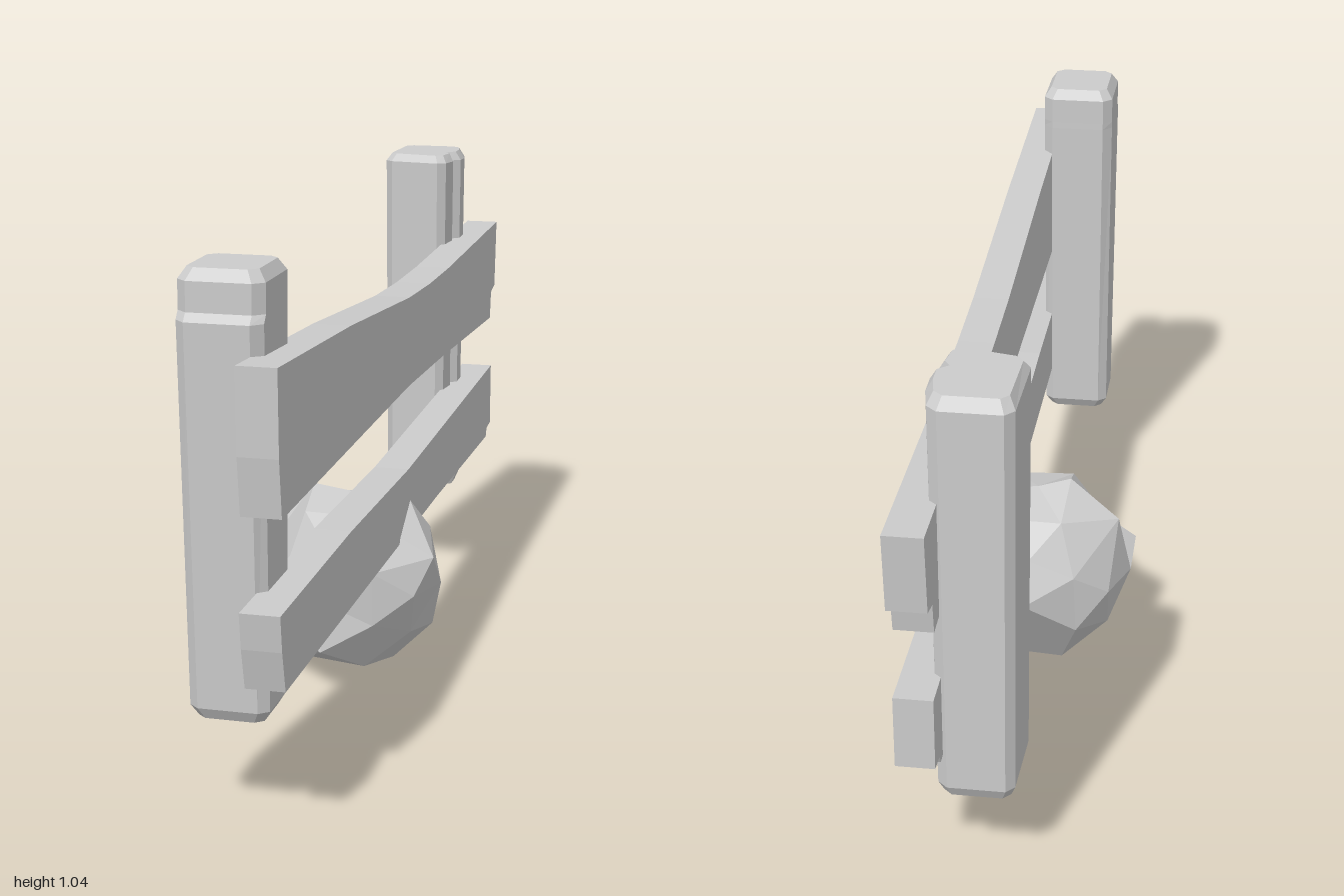
import * as THREE from 'three';

const grey = new THREE.MeshStandardMaterial({ color: 0xcccccc, flatShading: true });

function mesh(name, geometry) {
  geometry.computeVertexNormals();
  const m = new THREE.Mesh(geometry, grey);
  m.name = name;
  return m;
}

// Plank: a side outline of [z, y] points, extruded along x
function plank(name, outline) {
  const shape = new THREE.Shape(outline.map(([z, y]) => new THREE.Vector2(-z, y)));
  const geo = new THREE.ExtrudeGeometry(shape, { depth: 0.075, bevelEnabled: false });
  geo.rotateY(Math.PI / 2).translate(0.065, 0, 0);
  return mesh(name, geo);
}

// Post: one [x, z] section lofted through levels of { y, scale, dz, depth }
function post(name, section, zMid, levels) {
  const n = section.length, pos = [], index = [];
  for (const { y, s, dz = 0, d = 1, tilt = 0 } of levels)
    for (const [x, z] of section)
      pos.push(x * s + 0.005, y + tilt * z, zMid + dz + z * s * d);
  for (let k = 0; k < levels.length - 1; k++)
    for (let i = 0; i < n; i++) {
      const a = k * n + i, b = k * n + (i + 1) % n;
      index.push(a, b, b + n, a, b + n, a + n);
    }
  // end caps
  const top = (levels.length - 1) * n;
  const flat = section.map(([x, z]) => new THREE.Vector2(x, -z));
  for (const [a, b, c] of THREE.ShapeUtils.triangulateShape(flat, []))
    index.push(top + a, top + b, top + c, a, c, b);
  const geo = new THREE.BufferGeometry();
  geo.setAttribute('position', new THREE.Float32BufferAttribute(pos, 3));
  geo.setIndex(index);
  return mesh(name, geo.toNonIndexed());
}

// Boulder: uneven faceted ball with a few corners pulled to fixed spots
function boulder() {
  const geo = new THREE.IcosahedronGeometry(1, 1);
  const p = geo.attributes.position, v = new THREE.Vector3();
  const corners = new Map();
  const key = i => [p.getX(i), p.getY(i), p.getZ(i)].map(c => Math.round(c * 100)).join();
  let seed = 7;
  const rand = () => (seed = (seed * 16807) % 2147483647) / 2147483647;
  for (let i = 0; i < p.count; i++) {
    const k = key(i);
    if (corners.has(k)) continue;
    v.fromBufferAttribute(p, i).multiplyScalar(0.185 + 0.03 * rand());
    corners.set(k, v.clone().add(new THREE.Vector3(0, 0.2, -0.015)));
  }
  const knobs = [
    [0.01, 0.003, -0.02], [0.11, 0.025, 0], [0.19, 0.1, -0.03], [0.21, 0.28, 0.06],
    [0.14, 0.38, -0.02], [-0.07, 0.41, 0], [-0.18, 0.34, -0.04], [-0.21, 0.24, 0.06],
    [-0.15, 0.1, 0], [0, 0.24, -0.265], [0.03, 0.06, -0.16], [0, 0.1, 0.215],
    [0.02, 0.3, 0.19], [-0.09, 0.045, 0.03],
  ].map(k => new THREE.Vector3(...k));
  const all = [...corners.values()], used = new Set();
  for (const knob of knobs) {
    const near = all.filter(c => !used.has(c))
      .sort((a, b) => a.distanceTo(knob) - b.distanceTo(knob))[0];
    used.add(near.copy(knob));
  }
  for (let i = 0; i < p.count; i++) {
    const c = corners.get(key(i));
    p.setXYZ(i, c.x, c.y, c.z);
  }
  return mesh('boulder', geo);
}

export function createModel() {
  const group = new THREE.Group();
  group.name = 'fenceWithBoulder';

  // Rails, each with a broken notch at the far end
  group.add(plank('upperRail', [
    [1, 0.9], [0.995, 0.74], [0.98, 0.63], [0, 0.64], [-0.35, 0.63], [-0.93, 0.605],
    [-0.94, 0.67], [-0.985, 0.68], [-1, 0.84], [-0.4, 0.825], [-0.2, 0.825], [0, 0.832], [0.5, 0.872],
  ]));
  group.add(plank('lowerRail', [
    [0.995, 0.46], [0.985, 0.39], [0.965, 0.31], [-0.3, 0.31], [-0.6, 0.305], [-0.9, 0.3],
    [-0.91, 0.32], [-0.955, 0.325], [-0.955, 0.475], [0, 0.455], [0.5, 0.465],
  ]));

  // Near post: chamfered square, stepped in near its top on the +z side
  const square = [
    [-0.06, 0.09], [0.06, 0.09], [0.08, 0.07], [0.08, -0.07],
    [0.06, -0.09], [-0.06, -0.09], [-0.08, -0.07], [-0.08, 0.07],
  ];
  group.add(post('nearPost', square, 0.815, [
    { y: 0.205, s: 0.78, dz: -0.01, d: 0.87 }, { y: 0.228, s: 0.95, dz: -0.01, d: 0.87 },
    { y: 0.95, s: 1, dz: 0.003, d: 1.04 }, { y: 0.965, s: 1, dz: -0.004, d: 0.96 },
    { y: 1.02, s: 1, dz: -0.004, d: 0.96 }, { y: 1.042, s: 0.82, dz: -0.004, d: 0.98 },
  ]));

  // Far post: skewed, with a split running down its rail side
  const split = [
    [-0.065, 0.085], [0.05, 0.11], [0.068, 0.095], [0.075, 0.045], [0.062, 0.025],
    [0.085, 0.005], [0.085, -0.04], [0.075, -0.09], [0.055, -0.108],
    [-0.06, -0.108], [-0.077, -0.09], [-0.082, 0.065],
  ];
  group.add(post('farPost', split, -0.772, [
    { y: 0.205, s: 0.84, dz: -0.008 }, { y: 0.23, s: 0.96, dz: -0.008 },
    { y: 1.025, s: 1.02, tilt: 0.03 }, { y: 1.045, s: 0.87 },
  ]));

  group.add(boulder());
  return group;
}
